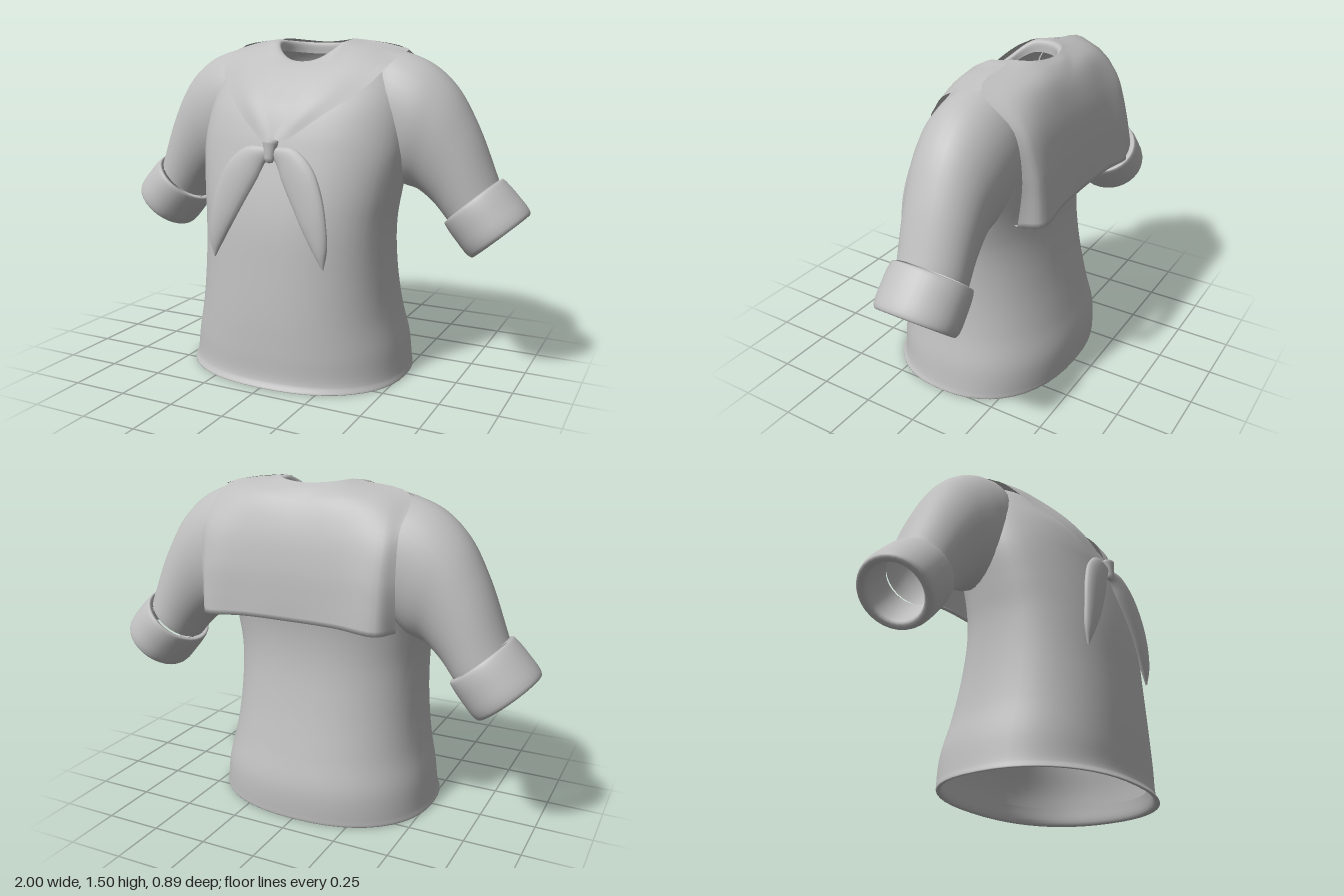
import * as THREE from 'three';

const V = (x, y, z) => new THREE.Vector3(x, y, z);
const cloth = new THREE.MeshStandardMaterial({ color: 0xbfbfbf, side: THREE.DoubleSide });
cloth.name = 'grey cloth';

// Smoothly subdivide a grid of points along its rows
function refine(grid, k) {
  const n = (grid.length - 1) * k;
  const curves = grid[0].map((_, j) => new THREE.CatmullRomCurve3(grid.map(r => r[j])));
  return Array.from({ length: n + 1 }, (_, i) => curves.map(c => c.getPoint(i / n)));
}
const transpose = g => g[0].map((_, j) => g.map(r => r[j]));
const refineBoth = (g, k) => transpose(refine(transpose(refine(g, k)), k));

// Skin a grid of points; closed joins the last column to the first
function skin(name, grid, closed) {
  const m = grid[0].length, idx = [];
  for (let i = 0; i < grid.length - 1; i++) {
    for (let j = 0; j < (closed ? m : m - 1); j++) {
      const k = (j + 1) % m, a = i * m + j, b = i * m + k, c = b + m, d = a + m;
      idx.push(a, b, c, a, c, d);
    }
  }
  const geo = new THREE.BufferGeometry().setFromPoints(grid.flat());
  geo.setIndex(idx);
  geo.computeVertexNormals();
  const mesh = new THREE.Mesh(geo, cloth);
  mesh.name = name;
  return mesh;
}

const ring = (n, f) => Array.from({ length: n }, (_, j) => f(j / n * Math.PI * 2));
const pow = (v, e) => Math.sign(v) * Math.abs(v) ** e;

// Torso ring: height, half width, front z, back z, front dip, back dip
function torsoRing([y, w, zf, zb, df = 0, db = 0]) {
  return ring(48, t => {
    const s = Math.sin(t), c = Math.cos(t);
    return V(w * pow(s, 2 / 2.3), y - (c > 0 ? df * c * c : db * c * c),
      (zf + zb) / 2 + (zf - zb) / 2 * pow(c, 2 / 2.3));
  });
}

// Sleeve ring: top x, y, bottom x, y, centre z, half depth
function sleeveRing([tx, ty, bx, by, zc, zh]) {
  return ring(32, t => {
    const c = Math.cos(t);
    return V((tx + bx) / 2 + (tx - bx) / 2 * c, (ty + by) / 2 + (ty - by) / 2 * c, zc + zh * Math.sin(t));
  });
}

// Cuff ring placed along the sleeve axis: distance, half height, half depth
function cuffRing([d, h, zh]) {
  const cx = 0.757 + d * 0.66, cy = 0.795 - d * 0.75;
  return sleeveRing([cx + h * 0.75, cy + h * 0.66, cx - h * 0.75, cy - h * 0.66, -0.152, zh]);
}

// Mirror a part builder to both sides
function pair(parent, name, build) {
  for (const side of [1, -1]) {
    const g = new THREE.Group();
    g.name = (side > 0 ? 'left' : 'right') + name;
    g.scale.x = side;
    g.add(...build());
    parent.add(g);
  }
}

export function createModel() {
  const model = new THREE.Group();
  model.name = 'blouse';
  const body = new THREE.Group();
  body.name = 'body';
  model.add(body);

  // Torso from the turned-in hem up to the rolled neckline
  body.add(skin('torso', refine([
    [0.08, 0.49, 0.395, -0.39],
    [0.005, 0.503, 0.42, -0.395],
    [0, 0.52, 0.44, -0.412],
    [0.03, 0.514, 0.424, -0.416],
    [0.15, 0.498, 0.42, -0.415],
    [0.3, 0.466, 0.415, -0.38],
    [0.5, 0.446, 0.4, -0.335],
    [0.7, 0.447, 0.38, -0.305],
    [0.85, 0.468, 0.35, -0.305],
    [1.0, 0.49, 0.31, -0.33],
    [1.1, 0.49, 0.28, -0.355],
    [1.2, 0.48, 0.235, -0.375],
    [1.3, 0.455, 0.17, -0.36, 0.02],
    [1.39, 0.4, 0.115, -0.33, 0.05],
    [1.45, 0.3, 0.07, -0.29, 0.07],
    [1.492, 0.19, 0.035, -0.25, 0.095, 0.012],
    [1.485, 0.163, 0.02, -0.237, 0.09, 0.012],
    [1.44, 0.158, 0.015, -0.237, 0.07, 0.012],
  ].map(torsoRing), 5), true));

  // Sleeves with thick turned-up cuffs
  pair(body, 'Sleeve', () => [
    skin('sleeve', refine([
      [0.24, 1.478, 0.28, 1.05, -0.16, 0.13],
      [0.4, 1.452, 0.37, 0.93, -0.13, 0.19],
      [0.55, 1.398, 0.44, 0.86, -0.125, 0.195],
      [0.665, 1.3, 0.515, 0.835, -0.13, 0.18],
      [0.765, 1.13, 0.59, 0.775, -0.14, 0.165],
      [0.86, 0.895, 0.65, 0.705, -0.15, 0.152],
    ].map(sleeveRing), 6), true),
    skin('cuff', refine([
      [0.01, 0.135, 0.145],
      [-0.002, 0.157, 0.168],
      [0.02, 0.163, 0.177],
      [0.1, 0.167, 0.181],
      [0.175, 0.165, 0.178],
      [0.194, 0.155, 0.166],
      [0.19, 0.13, 0.14],
      [0.15, 0.123, 0.132],
      [0.03, 0.12, 0.13],
    ].map(cuffRing), 3), true),
  ]);

  // Drape rule: keep a sheet just outside the body, in front (1) or behind (-1)
  body.updateMatrixWorld(true);
  const caster = new THREE.Raycaster();
  const drape = (grid, dir) => {
    for (const p of grid.flat()) {
      caster.set(V(p.x, p.y, 3 * dir), V(0, 0, -dir));
      const hit = caster.intersectObject(body, true)[0];
      if (hit) p.z = dir * Math.max(dir * p.z, dir * hit.point.z + 0.012);
    }
    return grid;
  };

  // Square collar flap over the back, columns from the middle to the edge
  const half = [
    [[0, 1.485, -0.25], [0, 1.42, -0.325], [0, 1.3, -0.38], [0, 1.15, -0.41], [0, 1.03, -0.418], [0, 0.93, -0.42]],
    [[0.1, 1.492, -0.235], [0.2, 1.43, -0.32], [0.225, 1.3, -0.38], [0.22, 1.15, -0.412], [0.22, 1.03, -0.422], [0.22, 0.93, -0.428]],
    [[0.15, 1.498, -0.2], [0.35, 1.43, -0.28], [0.4, 1.3, -0.37], [0.4, 1.15, -0.415], [0.4, 1.03, -0.43], [0.4, 0.92, -0.438]],
    [[0.17, 1.5, -0.15], [0.43, 1.452, -0.17], [0.45, 1.32, -0.33], [0.455, 1.15, -0.37], [0.455, 1.03, -0.365], [0.455, 0.92, -0.35]],
  ].map(col => col.map(p => V(...p)));
  const flipped = half.slice(1).reverse().map(col => col.map(p => V(-p.x, p.y, p.z)));
  const flap = drape(refineBoth(transpose([...flipped, ...half]), 5), -1);
  flap.push(flap[flap.length - 1].map(p => V(p.x * 0.97, p.y, p.z + 0.022)));
  model.add(skin('backCollar', flap, false));

  // Front collar panels running from the shoulders to the knot
  const panel = drape(refineBoth([
    [[0.44, 1.452, -0.17], [0.3, 1.485, -0.16], [0.17, 1.5, -0.15]],
    [[0.42, 1.4, 0], [0.3, 1.44, 0], [0.18, 1.46, 0]],
    [[0.34, 1.29, 0.12], [0.24, 1.33, 0.13], [0.135, 1.36, 0.125]],
    [[0.2, 1.18, 0.24], [0.14, 1.21, 0.245], [0.075, 1.23, 0.235]],
    [[0.05, 1.06, 0.312], [0.03, 1.07, 0.312], [0.005, 1.085, 0.31]],
  ].map(row => row.map(p => V(...p))), 5), 1);
  pair(model, 'FrontCollar', () => [skin('collarPanel', panel, false)]);

  // Scarf tails: outer x, y, inner x, y, centre z, half thickness
  pair(model, 'ScarfTail', () => [
    skin('scarfTail', refine([
      [0.02, 1.045, 0.01, 1.0, 0.325, 0.014],
      [0.11, 1.045, 0.03, 0.97, 0.328, 0.022],
      [0.2, 0.975, 0.06, 0.905, 0.34, 0.027],
      [0.255, 0.86, 0.115, 0.805, 0.355, 0.027],
      [0.28, 0.74, 0.17, 0.705, 0.365, 0.024],
      [0.285, 0.63, 0.225, 0.61, 0.366, 0.018],
      [0.268, 0.545, 0.262, 0.547, 0.364, 0.004],
    ].map(([ox, oy, ix, iy, zc, h]) => ring(16, t => {
      const s = -Math.sin(t) / 2;
      return V((ox + ix) / 2 + (ox - ix) * s, (oy + iy) / 2 + (oy - iy) * s, zc + h * Math.cos(t));
    })), 5), true),
  ]);

  // Knot, flaring towards its top
  const profile = [[0, -0.052], [0.016, -0.048], [0.024, -0.03], [0.026, 0], [0.034, 0.03], [0.036, 0.042], [0.028, 0.048], [0, 0.046]];
  const knot = new THREE.Mesh(
    new THREE.LatheGeometry(profile.map(p => new THREE.Vector2(...p)), 20), cloth);
  knot.name = 'knot';
  knot.position.set(0, 1.028, 0.332);
  knot.rotation.x = -0.15;
  knot.scale.z = 0.8;
  model.add(knot);

  return model;
}
